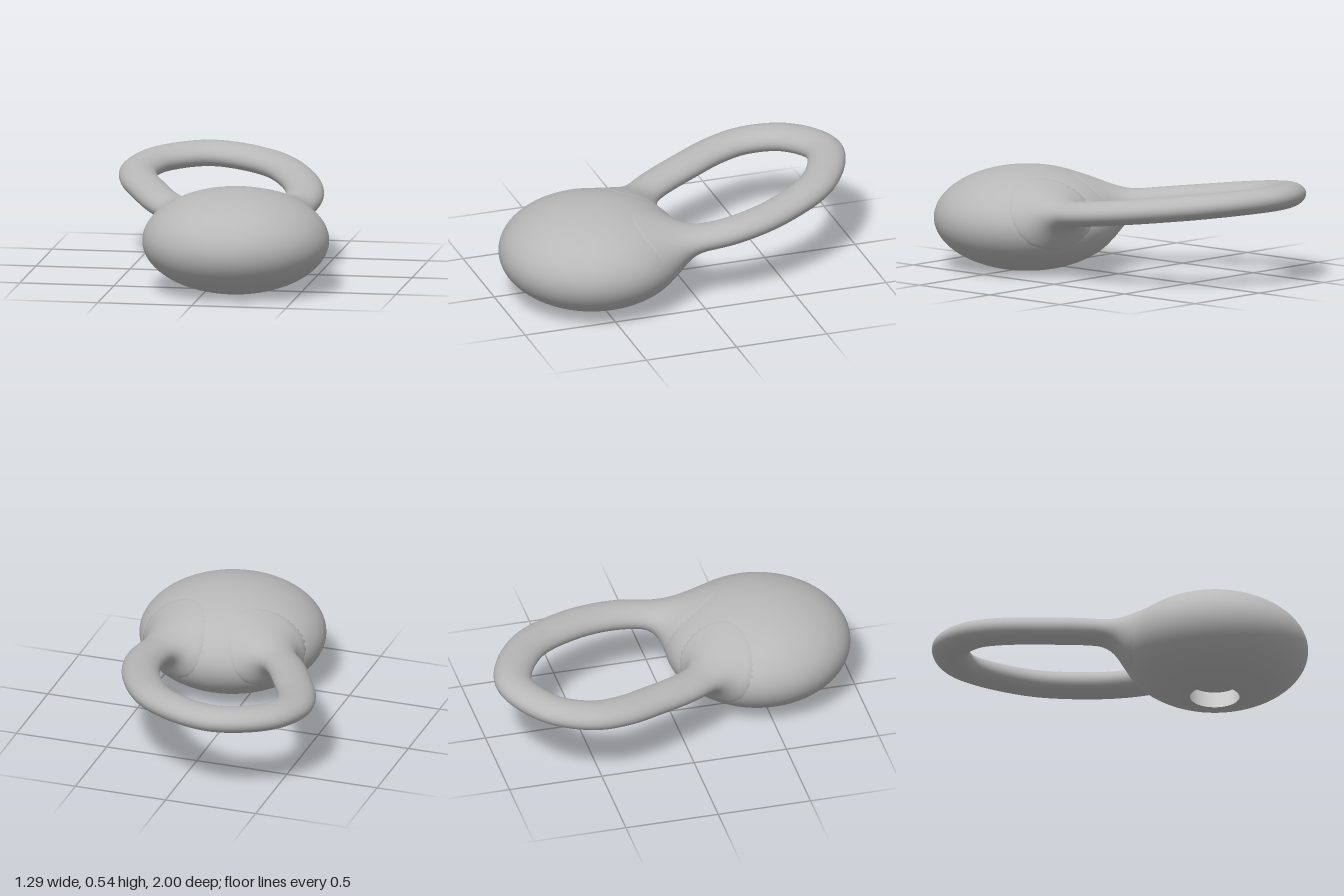
import * as THREE from 'three';

const grey = new THREE.MeshStandardMaterial({ color: 0xb8b8b8 });
grey.name = 'grey';
const pale = new THREE.MeshStandardMaterial({ color: 0xe8e8e8 });
pale.name = 'pale lining';

// Flattened round body
const centre = new THREE.Vector3(0.15, 0.265, 0.51);
const radii = new THREE.Vector3(0.49, 0.275, 0.49);
const holeRadius = 0.13;
const holeDepth = 0.085;

// Approximate signed distance to the body surface
function bodyDistance(p) {
  const q = p.clone().sub(centre).divide(radii);
  const k = q.length();
  return k * (k - 1) / Math.max(q.divide(radii).length(), 1e-6);
}

// Smooth minimum that makes the fillet between handle and body
function smoothMin(a, b, k) {
  const h = Math.max(k - Math.abs(a - b), 0) / k;
  return Math.min(a, b) - h * h * k / 4;
}

function lathe(name, points, material) {
  const geometry = new THREE.LatheGeometry(points.map(([r, y]) => new THREE.Vector2(r, y)), 96);
  const mesh = new THREE.Mesh(geometry, material);
  mesh.name = name;
  mesh.position.set(centre.x, 0, centre.z);
  return mesh;
}

// Oval tube along the tilted loop, widened where it runs into the body
function handleGeometry() {
  const plan = [
    [0.0, 0.34], [-0.16, 0.2], [-0.31, 0.02], [-0.43, -0.2], [-0.52, -0.4], [-0.545, -0.57],
    [-0.465, -0.77], [-0.22, -0.9], [0.12, -0.75], [0.32, -0.46], [0.395, -0.2], [0.385, 0.02],
    [0.35, 0.17], [0.29, 0.34],
  ];
  const slope = -0.119;
  const curve = new THREE.CatmullRomCurve3(
    plan.map(([x, z]) => new THREE.Vector3(x, 0.358 + slope * z, z)));
  const rings = 260, sides = 48, wide = 0.1, thick = 0.066, blend = 0.15, reach = 0.12;
  const up = new THREE.Vector3(0, 1, -slope).normalize();
  const positions = [], indices = [];

  for (let i = 0; i <= rings; i++) {
    const point = curve.getPointAt(i / rings);
    const side = curve.getTangentAt(i / rings).cross(up).normalize();
    for (let j = 0; j < sides; j++) {
      const a = j / sides * Math.PI * 2, c = Math.cos(a), s = Math.sin(a);
      const p = point.clone().addScaledVector(side, wide * c).addScaledVector(up, thick * s);
      const n = side.clone().multiplyScalar(c / wide).addScaledVector(up, s / thick).normalize();
      // Bisect outwards to the blended surface
      let low = 0, high = reach;
      for (let k = 0; k < 18; k++) {
        const t = (low + high) / 2;
        const d = bodyDistance(p.clone().addScaledVector(n, t));
        if (smoothMin(t, d, blend) < 0) low = t; else high = t;
      }
      p.addScaledVector(n, low);
      positions.push(p.x, p.y, p.z);
      if (i < rings) {
        const j2 = (j + 1) % sides;
        const q = i * sides + j, r = i * sides + j2;
        indices.push(q, q + sides, r, r, q + sides, r + sides);
      }
    }
  }
  const geometry = new THREE.BufferGeometry();
  geometry.setAttribute('position', new THREE.Float32BufferAttribute(positions, 3));
  geometry.setIndex(indices);
  geometry.computeVertexNormals();
  // Make the faces point away from the centre line
  const normal = geometry.attributes.normal;
  const mid = Math.floor(rings / 2) * sides + sides / 4;
  if (normal.getY(mid) < 0) {
    geometry.setIndex(indices.reverse());
    geometry.computeVertexNormals();
  }
  return geometry;
}

export function createModel() {
  const group = new THREE.Group();
  group.name = 'ringHandledBody';

  // Body shell, open at the base
  const start = Math.asin(holeRadius / radii.x);
  const profile = [];
  for (let i = 0; i <= 64; i++) {
    const a = start + (Math.PI - start) * i / 64;
    profile.push([Math.max(radii.x * Math.sin(a), 0), centre.y - radii.y * Math.cos(a)]);
  }
  group.add(lathe('body', profile, grey));

  // Round recess in the base
  group.add(lathe('recessWall', [[holeRadius, holeDepth], [holeRadius, 0]], pale));
  group.add(lathe('recessCeiling', [[0, holeDepth], [holeRadius, holeDepth]], grey));

  const handle = new THREE.Mesh(handleGeometry(), grey);
  handle.name = 'ringHandle';
  group.add(handle);
  return group;
}
